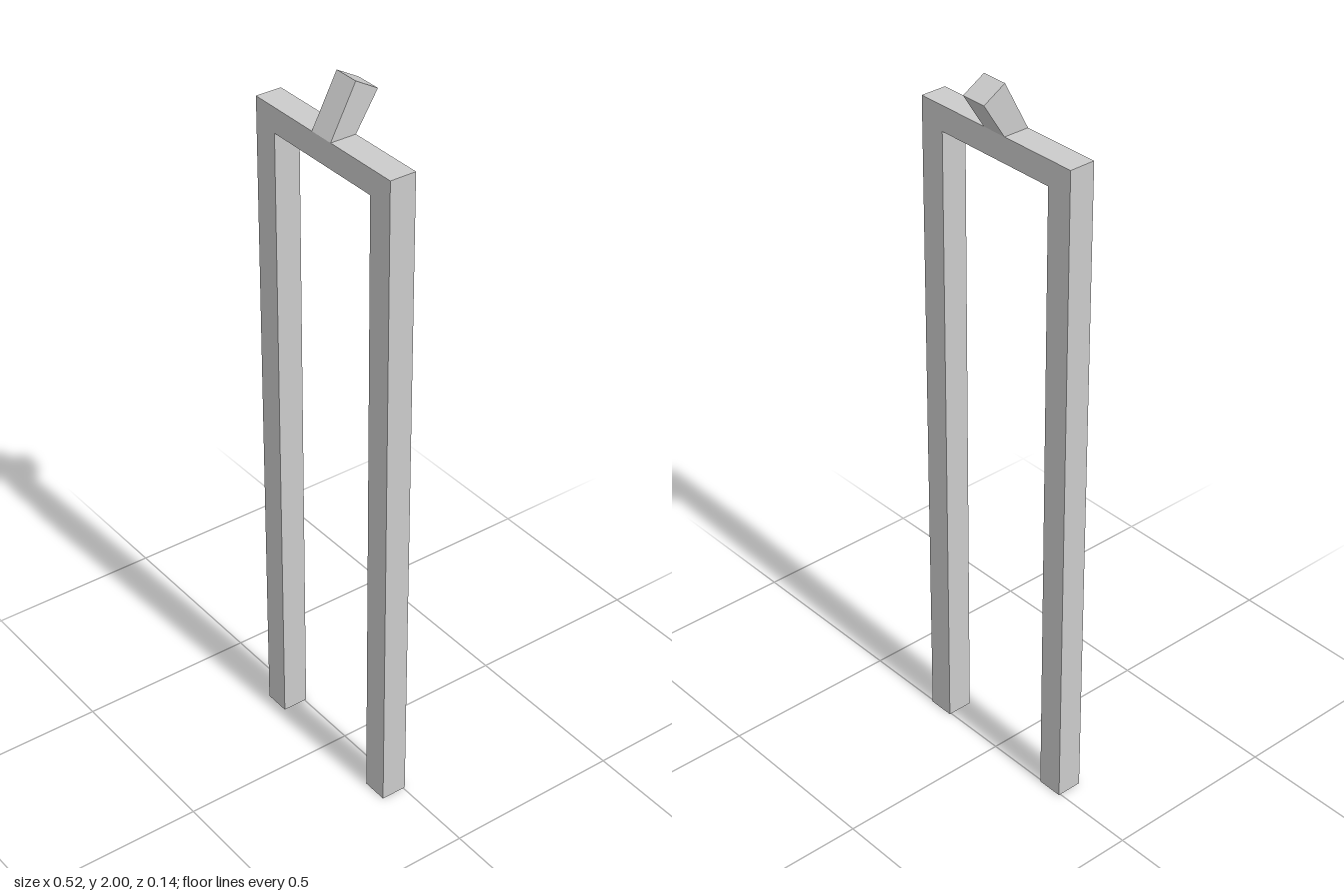
import * as THREE from 'three';

const material = new THREE.MeshStandardMaterial({ color: 0xcccccc, flatShading: true });

// Prism from an outline, centred on its extrusion axis
function prism(points, depth) {
  const shape = new THREE.Shape(points.map(([x, y]) => new THREE.Vector2(x, y)));
  return new THREE.ExtrudeGeometry(shape, { depth, bevelEnabled: false, steps: 1 })
    .translate(0, 0, -depth / 2);
}

export function createModel() {
  const group = new THREE.Group();
  const thick = 0.073, outer = 0.261, inner = 0.187;
  const top = 1.864, underBar = 1.795, front = 0.068, back = front - thick;

  // Upside-down U: two legs joined by a crossbar
  const frame = new THREE.Mesh(prism([
    [-outer, 0], [-inner, 0], [-inner, underBar], [inner, underBar],
    [inner, 0], [outer, 0], [outer, top], [-outer, top],
  ], thick), material);
  frame.name = 'legFrame';
  frame.position.z = (front + back) / 2;
  group.add(frame);

  // Short stub leaning backwards; outline given as (z, y)
  const stub = new THREE.Mesh(prism([
    [front, top], [-0.004, 2], [-0.068, 1.963], [back, top],
  ], thick).rotateY(-Math.PI / 2), material);
  stub.name = 'leaningStub';
  group.add(stub);

  return group;
}
